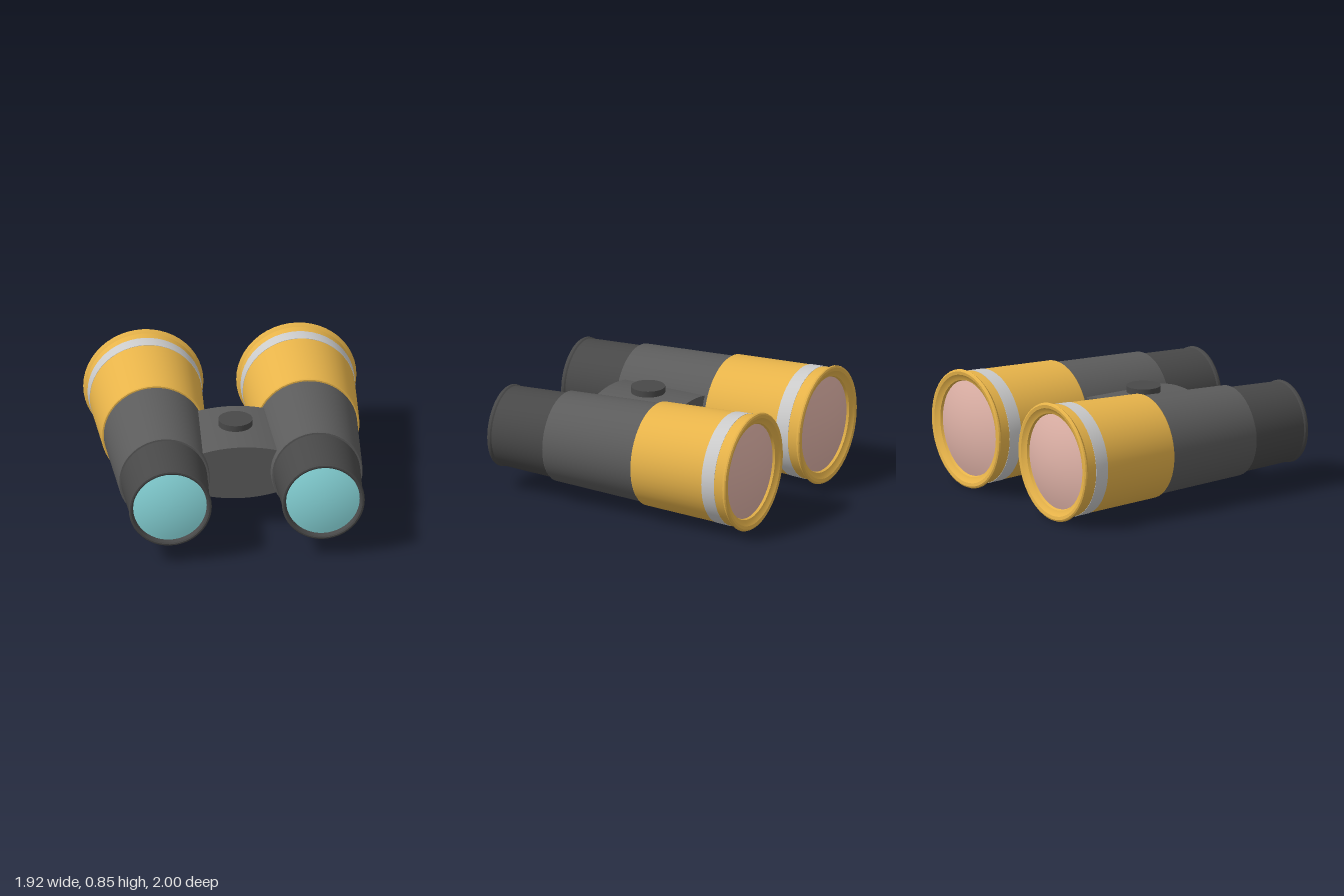
import * as THREE from 'three';
import { toCreasedNormals } from 'three/addons/utils/BufferGeometryUtils.js';

const AXIS_Y = 0.425, AXIS_X = 0.538, SIDES = 48;

const paint = (color) => new THREE.MeshStandardMaterial({ color });
const body = paint(0x5c5c5c), rubber = paint(0x484848), gold = paint(0xe8b44a);
const grey = paint(0xcccccc), cyan = paint(0x92e6ea), pink = paint(0xe0b3a8);

function part(name, geometry, material) {
  const mesh = new THREE.Mesh(geometry, material);
  mesh.name = name;
  return mesh;
}

// Ring-shaped part around the z axis; profile is [radius, z] from back to front
function turned(name, profile, material) {
  const points = profile.map(([r, z]) => new THREE.Vector2(r, z));
  const geometry = new THREE.LatheGeometry(points, SIDES).rotateX(Math.PI / 2);
  return part(name, toCreasedNormals(geometry, 0.45), material);
}

// Domed glass disc; dir is +1 facing front, -1 facing back
function lens(name, radius, apexZ, depth, dir, material) {
  const profile = [];
  for (let i = 0; i <= 8; i++) {
    const t = i / 8;
    profile.push([radius * t, apexZ - dir * depth * t * t]);
  }
  if (dir > 0) profile.reverse();
  return turned(name, profile, material);
}

function createBarrel(name) {
  const barrel = new THREE.Group();
  barrel.name = name;
  barrel.add(
    // Flared objective housing with a rounded lip
    turned('objectiveHousing', [
      [0.335, -0.93], [0.345, -0.955], [0.365, -0.962], [0.385, -0.978], [0.408, -0.982],
      [0.419, -0.976], [0.423, -0.966], [0.417, -0.957], [0.402, -0.942],
      [0.37, -0.195], [0.364, -0.188], [0.34, -0.188],
    ], gold),
    turned('objectiveBand', [[0.399, -0.875], [0.4015, -0.875], [0.3973, -0.772], [0.394, -0.772]], grey),
    lens('objectiveLens', 0.34, -1, 0.063, -1, pink),
    // Main tube and eyepiece, both tapering forward
    turned('mainTube', [[0.3, -0.2], [0.354, -0.2], [0.321, 0.535], [0.316, 0.542], [0.29, 0.542]], body),
    turned('eyepiece', [
      [0.28, 0.53], [0.304, 0.53], [0.284, 0.965], [0.291, 0.975], [0.292, 0.988],
      [0.286, 0.998], [0.276, 1], [0.266, 0.994], [0.258, 0.955],
    ], rubber),
    lens('eyepieceLens', 0.26, 0.992, 0.032, 1, cyan),
  );
  return barrel;
}

// Centre bridge with bowed top and bottom, running into both tubes
function createBridge() {
  const halfWidth = 0.38, halfHeight = 0.198, bow = 0.5;
  const top = [], bottom = [];
  for (let i = 0; i <= 16; i++) {
    const x = -halfWidth + (2 * halfWidth * i) / 16;
    const y = halfHeight - bow * x * x;
    bottom.push(new THREE.Vector2(x, -y));
    top.unshift(new THREE.Vector2(x, y));
  }
  const shape = new THREE.Shape([...bottom, ...top]);
  const geometry = new THREE.ExtrudeGeometry(shape, { depth: 0.65, bevelEnabled: false });
  const bridge = part('bridge', toCreasedNormals(geometry, 0.5), body);
  bridge.position.set(0, AXIS_Y + 0.002, -0.16);
  return bridge;
}

export function createModel() {
  const model = new THREE.Group();
  model.name = 'binoculars';

  for (const side of [1, -1]) {
    const barrel = createBarrel(side > 0 ? 'leftBarrel' : 'rightBarrel');
    barrel.position.set(side * AXIS_X, AXIS_Y, 0);
    model.add(barrel);
  }
  model.add(createBridge());

  // Focus knob on a short stem
  const stem = part('focusStem', new THREE.CylinderGeometry(0.04, 0.04, 0.06, 32), rubber);
  stem.position.set(0, 0.625, 0.165);
  const knob = part('focusKnob', new THREE.CylinderGeometry(0.12, 0.12, 0.044, 40), rubber);
  knob.position.set(0, 0.667, 0.165);
  model.add(stem, knob);

  return model;
}
